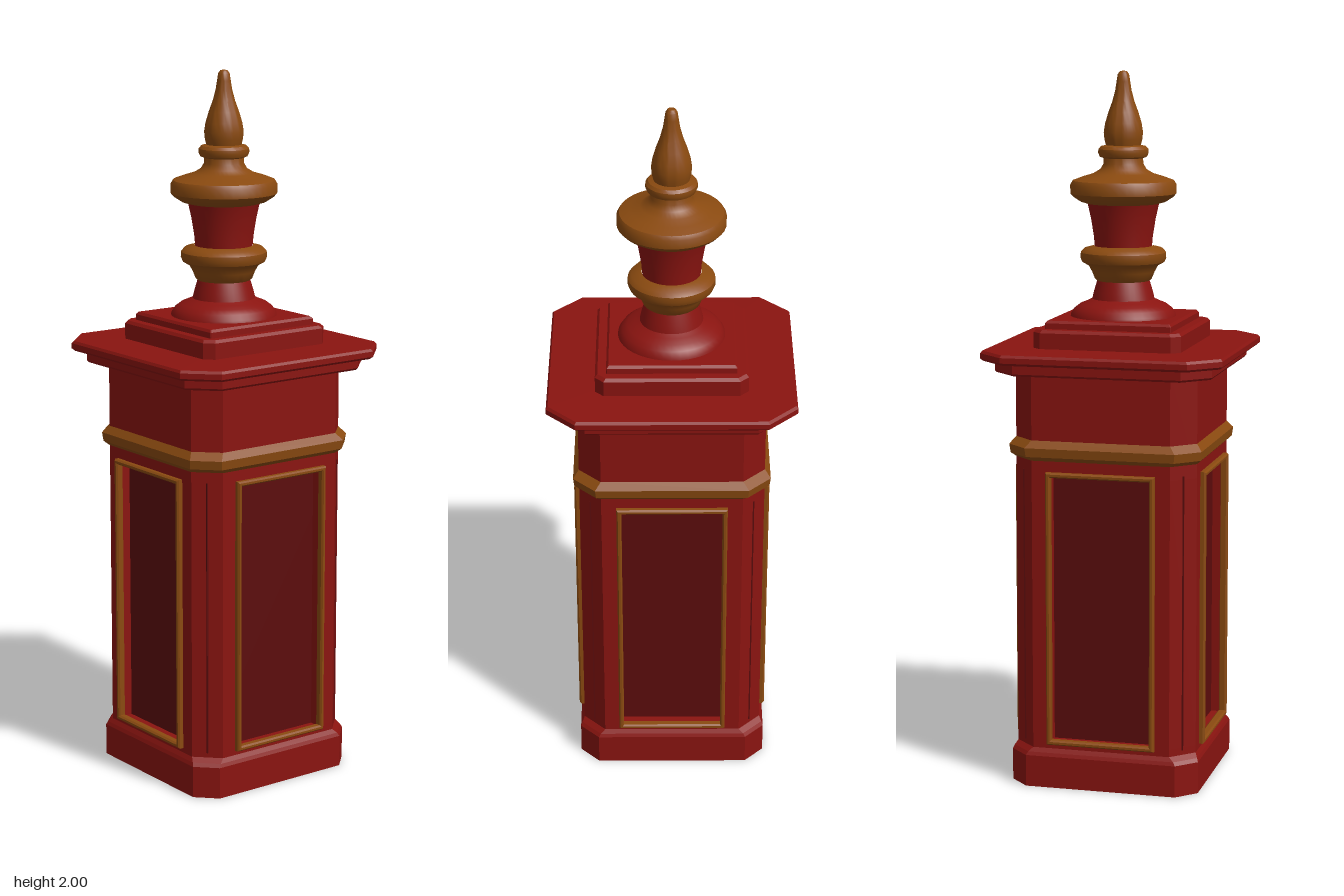
import * as THREE from 'three';
import { toCreasedNormals } from 'three/addons/utils/BufferGeometryUtils.js';

const red = new THREE.MeshStandardMaterial({ color: 0x8a1410 });
const trim = new THREE.MeshStandardMaterial({ color: 0x8a4a10 });
const dark = new THREE.MeshStandardMaterial({ color: 0x5c0c0c });

function mesh(name, geometry, material) {
  const m = new THREE.Mesh(geometry, material);
  m.name = name;
  return m;
}

// Closed solid through square rings with cut corners; each ring is [y, half width, corner cut]
function chamferedStack(rings) {
  const loops = rings.map(([y, h, c]) => {
    const k = h - c;
    return [[h, -k], [h, k], [k, h], [-k, h], [-h, k], [-h, -k], [-k, -h], [k, -h]].map(([x, z]) => [x, y, z]);
  });
  const pos = [];
  const tri = (a, b, c) => pos.push(...a, ...b, ...c);
  for (let r = 0; r < loops.length - 1; r++) {
    for (let i = 0; i < 8; i++) {
      const j = (i + 1) % 8;
      const [a, b, c, d] = [loops[r][i], loops[r][j], loops[r + 1][j], loops[r + 1][i]];
      tri(a, c, b);
      tri(a, d, c);
    }
  }
  const bottom = loops[0], top = loops[loops.length - 1];
  for (let i = 1; i < 7; i++) {
    tri(bottom[0], bottom[i], bottom[i + 1]);
    tri(top[0], top[i + 1], top[i]);
  }
  const g = new THREE.BufferGeometry();
  g.setAttribute('position', new THREE.Float32BufferAttribute(pos, 3));
  g.computeVertexNormals();
  return g;
}

const polygon = (Type, points) => new Type(points.map(([x, y]) => new THREE.Vector2(x, y)));
const rectangle = (Type, w, h) => polygon(Type, [[-w, -h], [w, -h], [w, h], [-w, h]]);

export function createModel() {
  const model = new THREE.Group();
  model.name = 'gatePost';

  // Pedestal, solid ends of the shaft and the moulding around its neck
  model.add(mesh('base', chamferedStack([
    [0, 0.27, 0.054], [0.09, 0.27, 0.054], [0.1, 0.266, 0.056], [0.112, 0.259, 0.062],
  ]), red));
  model.add(mesh('shaftFoot', chamferedStack([[0.1, 0.259, 0.062], [0.135, 0.259, 0.062]]), red));
  model.add(mesh('shaftHead', chamferedStack([[0.895, 0.259, 0.062], [1.19, 0.259, 0.062]]), red));
  model.add(mesh('neckMoulding', chamferedStack([
    [0.935, 0.259, 0.062], [0.947, 0.272, 0.062], [0.972, 0.275, 0.062], [0.992, 0.259, 0.062],
  ]), trim));

  // Sunken panels: a core, four corner posts and a raised frame on each face
  const core = mesh('sunkenPanels', new THREE.BoxGeometry(0.46, 0.78, 0.46), dark);
  core.position.y = 0.515;
  model.add(core);
  const postSection = polygon(THREE.Shape, [
    [0.142, 0.142], [0.259, 0.142], [0.259, 0.197], [0.197, 0.259], [0.142, 0.259],
  ]);
  const postGeometry = new THREE.ExtrudeGeometry(postSection, { depth: 0.762, bevelEnabled: false });
  postGeometry.rotateX(-Math.PI / 2).translate(0, 0.134, 0);
  const outline = rectangle(THREE.Shape, 0.151, 0.386);
  outline.holes.push(rectangle(THREE.Path, 0.145, 0.38));
  const frameGeometry = new THREE.ExtrudeGeometry(outline, {
    depth: 0.015, bevelEnabled: true, bevelThickness: 0.005, bevelSize: 0.004, bevelSegments: 1,
  });
  frameGeometry.translate(0, 0.515, 0.255);
  for (let i = 0; i < 4; i++) {
    const side = new THREE.Group();
    side.name = 'panelSide';
    side.add(mesh('cornerPost', postGeometry, red), mesh('panelFrame', frameGeometry, trim));
    side.rotation.y = i * Math.PI / 2;
    model.add(side);
  }

  // Overhanging cap slab and the two steps on it
  model.add(mesh('capUnderside', chamferedStack([
    [1.176, 0.303, 0.07], [1.182, 0.308, 0.072], [1.214, 0.308, 0.072],
  ]), red));
  model.add(mesh('capSlab', chamferedStack([
    [1.209, 0.334, 0.078], [1.216, 0.342, 0.08], [1.231, 0.342, 0.08], [1.238, 0.337, 0.079], [1.241, 0.2, 0.03],
  ]), red));
  model.add(mesh('lowerStep', chamferedStack([
    [1.235, 0.21, 0.024], [1.285, 0.21, 0.024], [1.293, 0.203, 0.023],
  ]), red));
  model.add(mesh('upperStep', chamferedStack([
    [1.285, 0.179, 0.002], [1.309, 0.179, 0.002], [1.316, 0.173, 0.002],
  ]), red));

  // Turned finial, as [radius, y] profiles
  const turned = (name, profile, material) => {
    const g = new THREE.LatheGeometry(profile.map(([r, y]) => new THREE.Vector2(r, y)), 40);
    model.add(mesh(name, toCreasedNormals(g, 0.6), material));
  };
  turned('finialFoot', [
    [0, 1.31], [0.15, 1.31], [0.148, 1.322], [0.138, 1.337], [0.122, 1.349], [0.102, 1.357], [0.088, 1.364],
    [0.083, 1.385], [0.074, 1.415],
  ], red);
  turned('finialLowerRing', [
    [0.07, 1.412], [0.08, 1.42], [0.088, 1.44], [0.098, 1.458], [0.116, 1.468], [0.121, 1.48], [0.12, 1.495],
    [0.11, 1.506], [0.082, 1.513],
  ], trim);
  turned('finialStem', [[0.08, 1.505], [0.083, 1.54], [0.091, 1.59], [0.1, 1.63], [0.105, 1.645]], red);
  turned('finialBowl', [
    [0.095, 1.63], [0.12, 1.637], [0.14, 1.65], [0.149, 1.66], [0.149, 1.685], [0.142, 1.696], [0.115, 1.706],
    [0.085, 1.715], [0.065, 1.727], [0.056, 1.742], [0.055, 1.765],
  ], trim);
  turned('finialCollar', [
    [0.053, 1.757], [0.066, 1.762], [0.071, 1.773], [0.07, 1.783], [0.063, 1.791], [0.045, 1.795],
  ], trim);
  turned('finialTip', [
    [0.048, 1.79], [0.053, 1.81], [0.055, 1.83], [0.051, 1.855], [0.042, 1.885], [0.031, 1.915], [0.023, 1.945],
    [0.019, 1.97], [0.016, 1.99], [0.01, 1.998], [0, 2],
  ], trim);

  return model;
}
